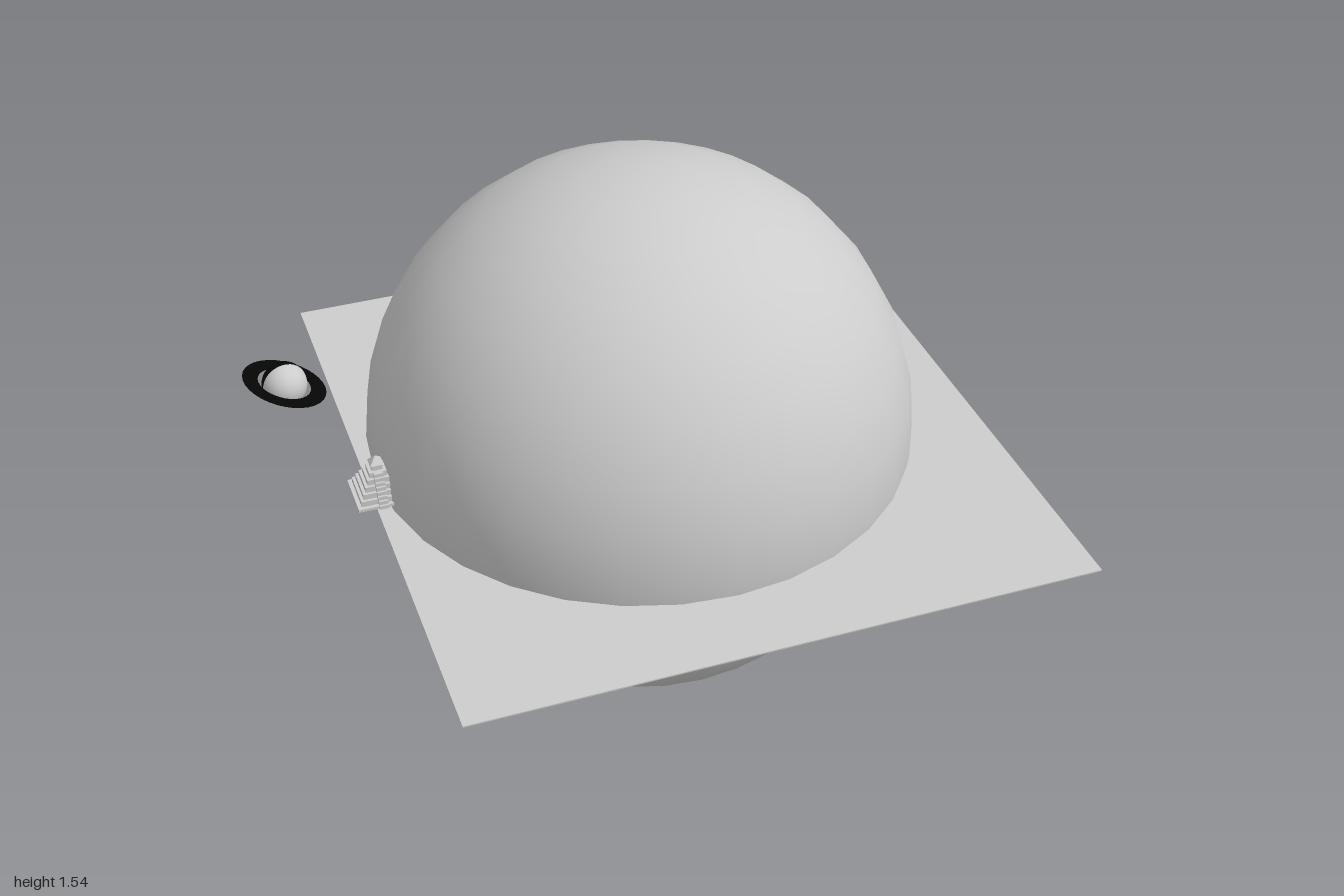
import * as THREE from 'three';

const grey = new THREE.MeshStandardMaterial({ color: 0xcccccc });
grey.name = 'stoneGrey';
const black = new THREE.MeshStandardMaterial({ color: 0x060606, side: THREE.DoubleSide });
black.name = 'black';

function add(parent, name, geometry, material, x, y, z) {
  const mesh = new THREE.Mesh(geometry, material);
  mesh.name = name;
  mesh.position.set(x, y, z);
  parent.add(mesh);
  return mesh;
}

// Small planet: front half grey, back half black, with a tilted flat ring
function ringedPlanet() {
  const planet = new THREE.Group();
  planet.name = 'ringedPlanet';
  const half = (start) => new THREE.SphereGeometry(0.062, 16, 16, start, Math.PI);
  const body = new THREE.Group();
  body.name = 'planetBody';
  add(body, 'frontHalf', half(0), grey, 0, 0, 0);
  add(body, 'backHalf', half(Math.PI), black, 0, 0, 0);
  body.rotation.y = 0.18;
  planet.add(body);
  const ring = add(planet, 'planetRing',
    new THREE.RingGeometry(0.074, 0.117, 32).rotateX(-Math.PI / 2), black, 0, 0, 0);
  ring.rotation.z = -0.33;
  planet.position.set(-0.89, 0.968, -0.26);
  return planet;
}

// Stepped pyramid with a front staircase and a small roofed temple
function steppedPyramid() {
  const pyramid = new THREE.Group();
  pyramid.name = 'steppedPyramid';
  add(pyramid, 'baseSlab', new THREE.BoxGeometry(0.138, 0.008, 0.138), grey, 0, 0.004, 0);
  const tiers = 5, rise = 0.016;
  for (let i = 0; i < tiers; i++) {
    const width = 0.116 - i * 0.017;
    add(pyramid, 'tier', new THREE.BoxGeometry(width, rise, width), grey,
      0, 0.008 + (i + 0.5) * rise, 0);
  }

  // Solid sloping staircase on the front
  const steps = 8, shape = new THREE.Shape();
  shape.moveTo(0, 0);
  shape.lineTo(0.075, 0);
  for (let i = 0; i < steps; i++) {
    const z = 0.075 - i * 0.006, y = (i + 1) * 0.011;
    shape.lineTo(z, y);
    shape.lineTo(z - 0.006, y);
  }
  shape.lineTo(0, steps * 0.011);
  const stairs = new THREE.ExtrudeGeometry(shape, { depth: 0.026, bevelEnabled: false });
  stairs.translate(0, 0, -0.013).rotateY(-Math.PI / 2);
  add(pyramid, 'staircase', stairs, grey, 0, 0, 0);

  // Temple and pointed roof
  add(pyramid, 'temple', new THREE.BoxGeometry(0.03, 0.018, 0.03), grey, 0, 0.097, 0);
  const roof = new THREE.ConeGeometry(0.026, 0.022, 4, 1).rotateY(Math.PI / 4).toNonIndexed();
  roof.computeVertexNormals();
  add(pyramid, 'templeRoof', roof, grey, 0, 0.116, 0);
  pyramid.position.set(-0.714, 0.765, 0.034);
  return pyramid;
}

export function createModel() {
  const model = new THREE.Group();
  model.name = 'planetScene';
  add(model, 'largeSphere', new THREE.SphereGeometry(0.771, 32, 16), grey, 0.067, 0.775, -0.057);
  add(model, 'groundPlate', new THREE.BoxGeometry(1.727, 0.004, 1.857), grey, 0.1365, 0.734, 0);
  model.add(ringedPlanet(), steppedPyramid());
  return model;
}
